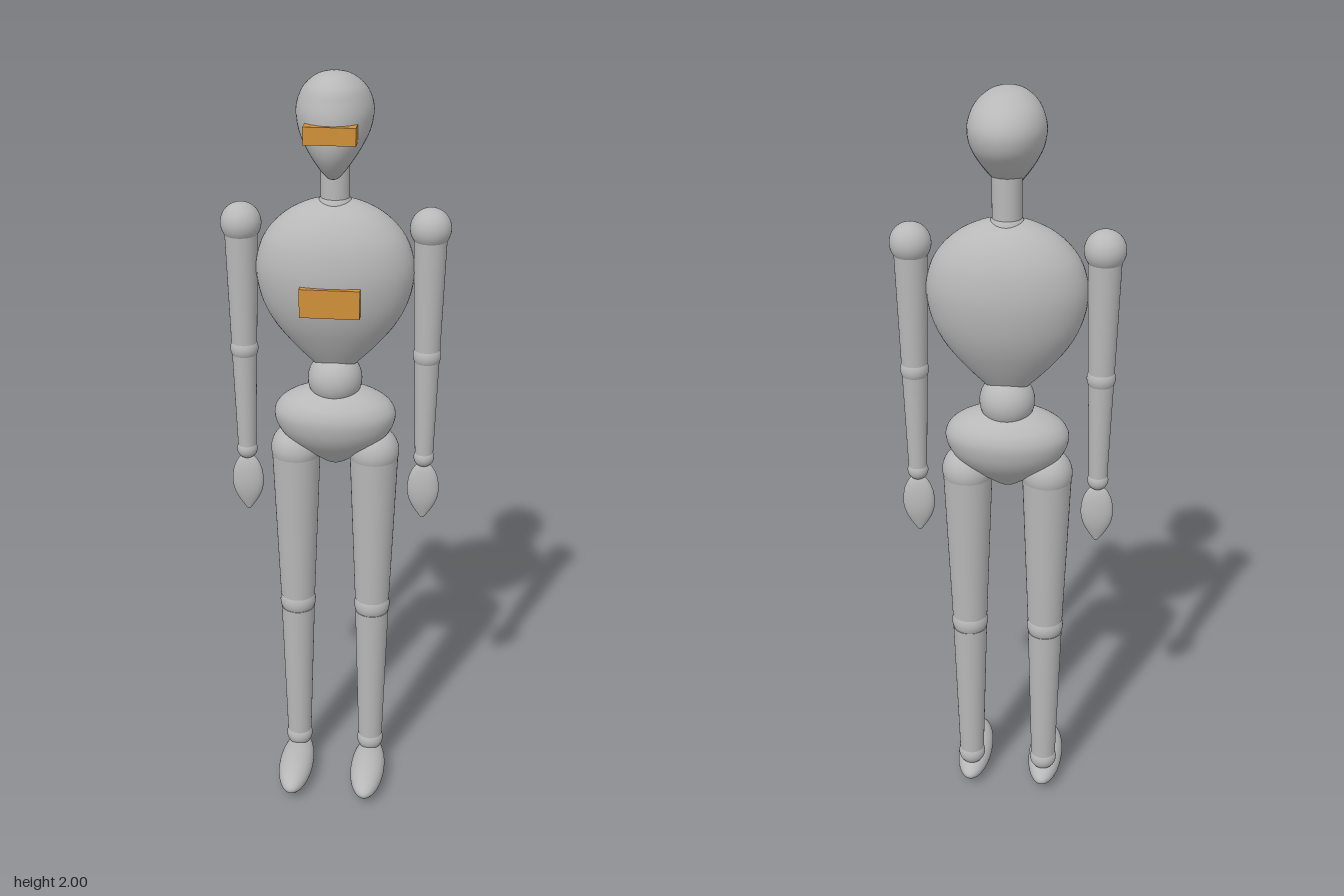
import * as THREE from 'three';
import { mergeVertices } from 'three/addons/utils/BufferGeometryUtils.js';

const grey = new THREE.MeshStandardMaterial({ color: 0xb8b8b8 });
grey.name = 'body grey';
const orange = new THREE.MeshStandardMaterial({ color: 0xd0923a });
orange.name = 'marker orange';

const AXIS_Z = -0.043; // depth of the body axis

// Egg outline [height, radius]; widest at height 0, pointed at -1
const EGG = [
  [-1, 0], [-0.985, 0.08], [-0.95, 0.16], [-0.85, 0.31], [-0.68, 0.55], [-0.47, 0.79], [-0.25, 0.94],
  [0, 1], [0.35, 0.937], [0.6, 0.8], [0.8, 0.6], [0.93, 0.37], [0.98, 0.2], [1, 0],
];

// Closed smooth shell through elliptical rings [y, halfWidth, zCentre, halfDepth], bottom to top
function shell(rings) {
  const steps = rings.length * 4;
  const outline = new THREE.SplineCurve(rings.map(r => new THREE.Vector2(r[1], r[0])));
  const depth = new THREE.SplineCurve(rings.map(r => new THREE.Vector2(r[2], r[3])));
  const points = outline.getPoints(steps);
  const depths = depth.getPoints(steps);
  points.forEach(p => { p.x = Math.max(p.x, 0); });
  const geo = new THREE.LatheGeometry(points, 48);
  const pos = geo.attributes.position;
  for (let i = 0; i < pos.count; i++) {
    const k = i % (steps + 1);
    const unit = points[k].x > 1e-6 ? pos.getZ(i) / points[k].x : 0;
    pos.setZ(i, depths[k].x + unit * depths[k].y);
  }
  geo.deleteAttribute('uv');
  geo.deleteAttribute('normal');
  const merged = mergeVertices(geo, 1e-5);
  merged.computeVertexNormals();
  return merged;
}

// Egg with its widest ring at height y
function egg(y, up, down, rx, rz) {
  return shell(EGG.map(([h, r]) => [y + h * (h > 0 ? up : down), r * rx, AXIS_Z, r * rz]));
}

function add(parent, name, geometry, material = grey) {
  const mesh = new THREE.Mesh(geometry, material);
  mesh.name = name;
  parent.add(mesh);
  return mesh;
}

function ball(parent, name, y, r) {
  add(parent, name, new THREE.SphereGeometry(r, 40, 24)).position.set(0, y, AXIS_Z);
}

// Tapered limb between two heights
function limb(parent, name, top, bottom, rTop, rBottom) {
  add(parent, name, new THREE.CylinderGeometry(rTop, rBottom, top - bottom, 40))
    .position.set(0, (top + bottom) / 2, AXIS_Z);
}

function createArm() {
  const arm = new THREE.Group();
  ball(arm, 'shoulder', 1.625, 0.051);
  limb(arm, 'upperArm', 1.625, 1.31, 0.042, 0.033);
  ball(arm, 'elbow', 1.294, 0.036);
  limb(arm, 'forearm', 1.28, 1.02, 0.032, 0.024);
  ball(arm, 'wrist', 1.008, 0.027);
  add(arm, 'hand', egg(0.915, 0.077, 0.088, 0.042, 0.02));
  return arm;
}

function createLeg() {
  const leg = new THREE.Group();
  ball(leg, 'hip', 1.02, 0.066);
  limb(leg, 'thigh', 1.015, 0.57, 0.064, 0.047);
  ball(leg, 'knee', 0.55, 0.049);
  limb(leg, 'shin', 0.53, 0.11, 0.046, 0.034);
  ball(leg, 'ankle', 0.092, 0.037);
  const foot = add(leg, 'foot', new THREE.SphereGeometry(1, 40, 24));
  foot.scale.set(0.048, 0.039, 0.132);
  foot.position.set(0, 0.039, 0.032);
  return leg;
}

export function createModel() {
  const model = new THREE.Group();
  model.name = 'jointedFigure';

  // Head: egg leaning back, chin forward
  add(model, 'head', shell([
    [1.75, 0, 0.004, 0], [1.755, 0.014, 0.003, 0.014], [1.776, 0.033, -0.003, 0.045],
    [1.808, 0.056, -0.013, 0.077], [1.84, 0.075, -0.024, 0.098], [1.872, 0.088, -0.036, 0.11],
    [1.909, 0.093, -0.041, 0.113], [1.941, 0.086, -0.04, 0.103], [1.967, 0.071, -0.033, 0.085],
    [1.988, 0.046, -0.027, 0.056], [1.997, 0.022, -0.023, 0.027], [2, 0, -0.021, 0],
  ]));
  limb(model, 'neck', 1.82, 1.69, 0.036, 0.036);
  ball(model, 'neckJoint', 1.67, 0.045);

  // Trunk
  add(model, 'torso', egg(1.515, 0.18, 0.285, 0.198, 0.122));
  ball(model, 'waist', 1.222, 0.07);
  add(model, 'pelvis', egg(1.125, 0.078, 0.145, 0.158, 0.105));

  // Front markers
  add(model, 'visor', new THREE.BoxGeometry(0.124, 0.042, 0.042), orange).position.set(0, 1.871, 0.062);
  add(model, 'chestPlate', new THREE.BoxGeometry(0.148, 0.072, 0.048), orange).position.set(0, 1.466, 0.064);

  // Limbs on both sides
  for (const [side, s] of [['left', 1], ['right', -1]]) {
    const arm = createArm();
    arm.name = side + 'Arm';
    arm.position.x = s * 0.234;
    const leg = createLeg();
    leg.name = side + 'Leg';
    leg.position.x = s * 0.103;
    model.add(arm, leg);
  }
  return model;
}
